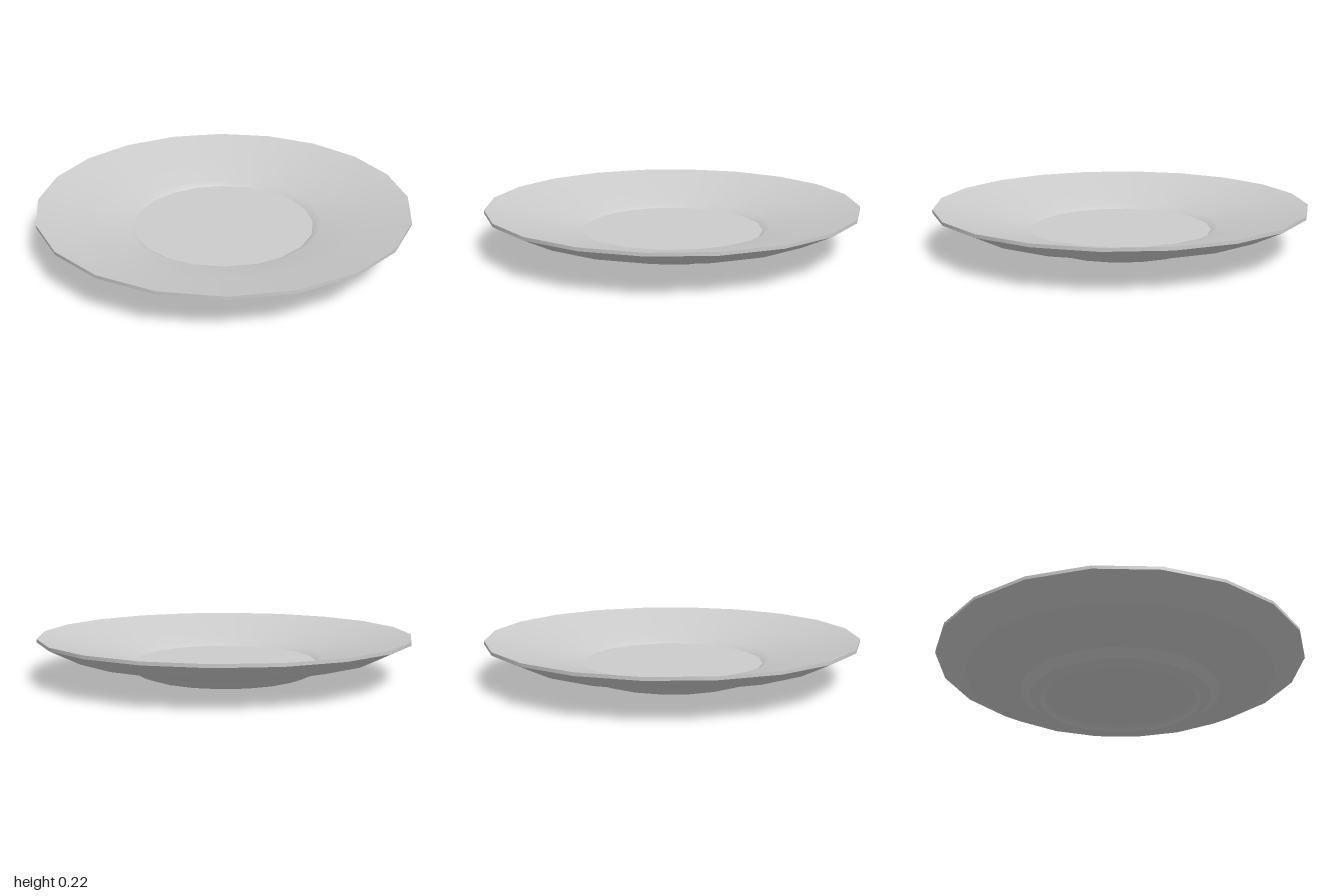
import * as THREE from 'three';

const SIDES = 20;

export function createModel() {
  const group = new THREE.Group();
  group.name = 'saucer';
  const material = new THREE.MeshStandardMaterial({ color: 0xcccccc });

  // Each band is smooth in itself; the joins between bands stay sharp.
  // Profiles run [radius, height] from the underside out and over the rim.
  const bands = {
    footRecess: [[0, 0.03], [0.4, 0.03], [0.435, 0]],
    footBevel: [[0.435, 0], [0.49, 0.02]],
    footWall: [[0.49, 0.02], [0.545, 0.056]],
    lowerUnderside: [[0.545, 0.056], [0.84, 0.126]],
    upperUnderside: [[0.84, 0.126], [1, 0.207]],
    rimEdge: [[1, 0.207], [1, 0.224]],
    innerSlope: [[1, 0.224], [0.75, 0.16], [0.53, 0.103], [0.49, 0.078]],
    wellFloor: [[0.49, 0.078], [0, 0.078]],
  };

  for (const [name, profile] of Object.entries(bands)) {
    const points = profile.map(([r, y]) => new THREE.Vector2(r, y));
    const mesh = new THREE.Mesh(new THREE.LatheGeometry(points, SIDES), material);
    mesh.name = name;
    group.add(mesh);
  }
  return group;
}
